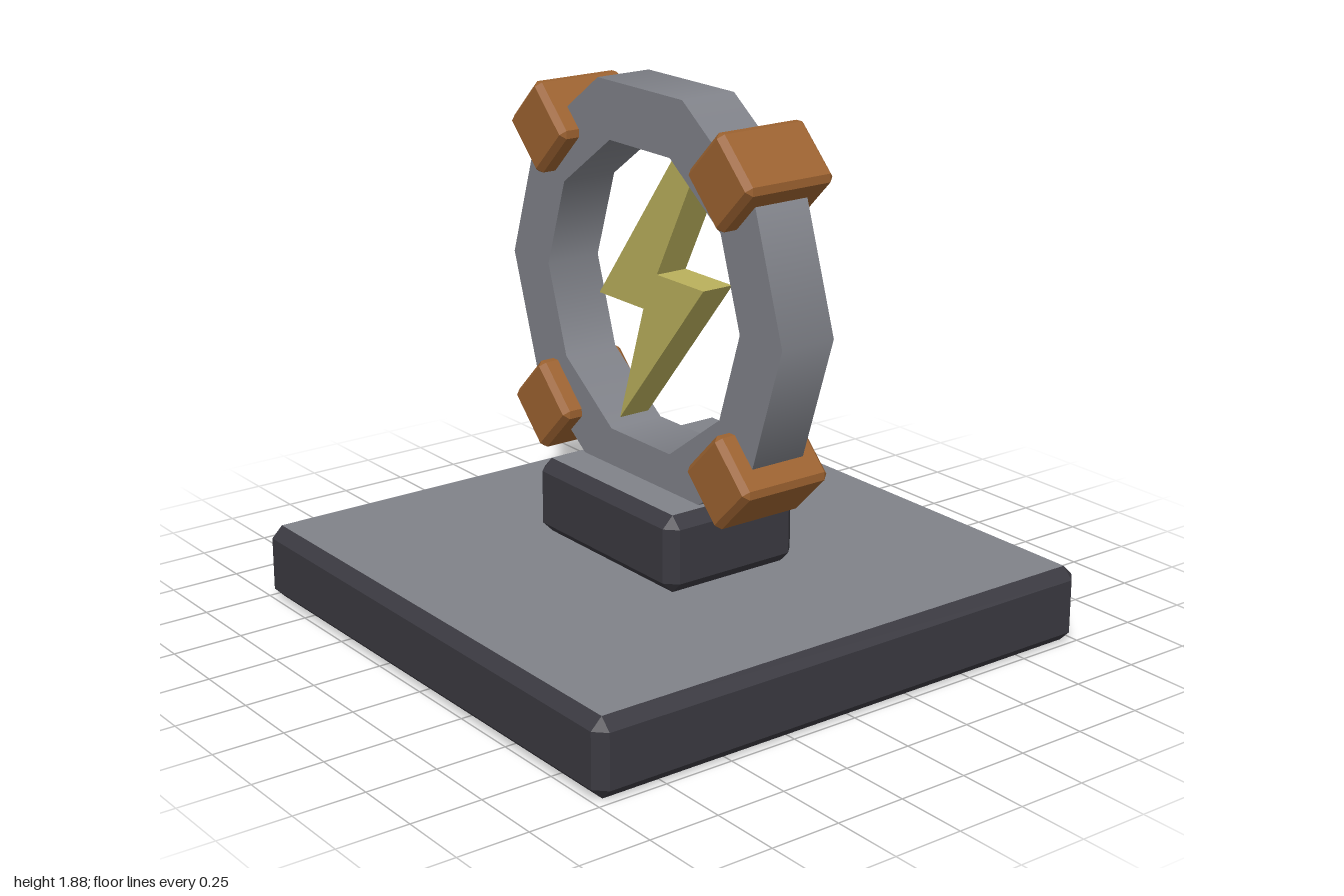
import * as THREE from 'three';
import { ConvexGeometry } from 'three/addons/geometries/ConvexGeometry.js';

const material = (name, color) => {
  const m = new THREE.MeshStandardMaterial({ color });
  m.name = name;
  return m;
};

// Box with every edge and corner cut flat, centred on the origin (half sizes, chamfer)
function chamferedBox(hx, hy, hz, c) {
  const points = [];
  for (const x of [-1, 1]) for (const y of [-1, 1]) for (const z of [-1, 1]) {
    points.push(
      new THREE.Vector3(x * hx, y * (hy - c), z * (hz - c)),
      new THREE.Vector3(x * (hx - c), y * hy, z * (hz - c)),
      new THREE.Vector3(x * (hx - c), y * (hy - c), z * hz));
  }
  return new ConvexGeometry(points);
}

// Group 0 for sides and bevels, group 1 for the flat top and bottom
function splitCaps(geometry) {
  const normal = geometry.attributes.normal;
  for (let i = 0; i < normal.count; i += 3) {
    geometry.addGroup(i, 3, Math.abs(normal.getY(i)) > 0.99 ? 1 : 0);
  }
  return geometry;
}

export function createModel() {
  const model = new THREE.Group();
  model.name = 'boltRingTrophy';

  const dark = material('darkMetal', 0x3a3940);
  const grey = material('greyMetal', 0x808289);
  const copper = material('copper', 0x9c6230);
  const yellow = material('boltYellow', 0xbab05c);

  const add = (parent, name, geometry, mat, x = 0, y = 0, z = 0) => {
    const mesh = new THREE.Mesh(geometry, mat);
    mesh.name = name;
    mesh.position.set(x, y, z);
    parent.add(mesh);
    return mesh;
  };

  // Square base and pedestal: dark bevelled sides, grey caps
  add(model, 'base', splitCaps(chamferedBox(1, 0.135, 1, 0.04)), [dark, grey], 0, 0.135);
  add(model, 'pedestal', splitCaps(chamferedBox(0.385, 0.135, 0.27, 0.04)), [dark, grey], 0, 0.405);

  const centreY = 1.176;

  // Ten-sided ring, one two-point lathe per side so its rims stay sharp
  const ring = new THREE.Group();
  ring.name = 'ring';
  ring.position.y = centreY;
  model.add(ring);
  const outer = 0.74, inner = 0.53, depth = 0.105;
  const section = [[outer, -depth], [outer, depth], [inner, depth], [inner, -depth]]
    .map(([r, y]) => new THREE.Vector2(r, y));
  ['ringOuterWall', 'ringFrontFace', 'ringInnerWall', 'ringBackFace'].forEach((name, i) => {
    const wall = new THREE.LatheGeometry([section[i], section[(i + 1) % 4]], 10, Math.PI / 2);
    add(ring, name, wall.rotateX(Math.PI / 2), grey);
  });

  // Four clamps set diagonally around the ring
  const clamp = chamferedBox(0.12, 0.12, 0.175, 0.02).rotateZ(Math.PI / 4);
  for (const sx of [-1, 1]) for (const sy of [-1, 1]) {
    const name = (sy > 0 ? 'upper' : 'lower') + (sx > 0 ? 'Left' : 'Right') + 'Clamp';
    add(model, name, clamp, copper, sx * 0.495, centreY + sy * 0.495);
  }

  // Lightning bolt floating inside the ring
  const outline = new THREE.Shape([
    [0.115, 1.655], [-0.29, 1.12], [-0.04, 1.12], [-0.175, 0.7],
    [0.285, 1.255], [0.035, 1.255], [0.245, 1.655],
  ].map(([x, y]) => new THREE.Vector2(x, y)));
  const bolt = new THREE.ExtrudeGeometry(outline, { depth: 0.12, bevelEnabled: false });
  add(model, 'lightningBolt', bolt, yellow, 0, 0, -0.06);

  return model;
}
